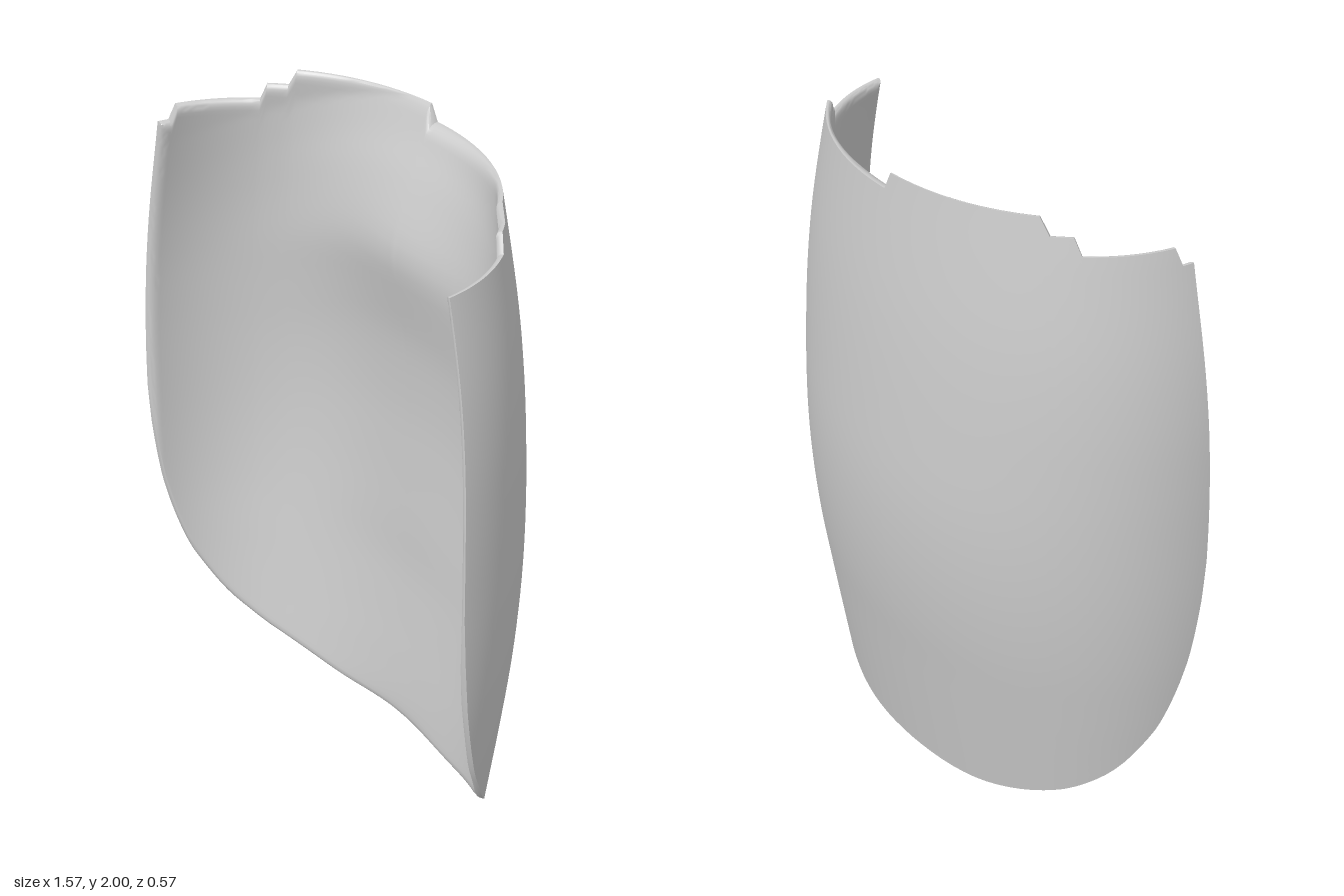
import * as THREE from 'three';
import { toCreasedNormals } from 'three/addons/utils/BufferGeometryUtils.js';

// Smooth (cubic) or straight interpolation through [input, output] pairs
function sample(points, t, smooth = true) {
  const n = points.length;
  if (t <= points[0][0]) return points[0][1];
  if (t >= points[n - 1][0]) return points[n - 1][1];
  let k = 0;
  while (t > points[k + 1][0]) k++;
  const [t0, v0] = points[k], [t1, v1] = points[k + 1];
  const h = t1 - t0, u = (t - t0) / h;
  if (!smooth) return v0 + (v1 - v0) * u;
  const slope = (i) => {
    const a = points[Math.max(i - 1, 0)], b = points[Math.min(i + 1, n - 1)];
    return (b[1] - a[1]) / (b[0] - a[0]);
  };
  const u2 = u * u, u3 = u2 * u;
  return v0 * (2 * u3 - 3 * u2 + 1) + v1 * (3 * u2 - 2 * u3)
    + h * (slope(k) * (u3 - 2 * u2 + u) + slope(k + 1) * (u3 - u2));
}

// Half width and back depth by height
const HALF_WIDTH = [[0, 0.715], [0.2, 0.74], [0.4, 0.763], [0.6, 0.78], [0.8, 0.788], [1, 0.788],
  [1.2, 0.782], [1.4, 0.767], [1.6, 0.737], [1.85, 0.68], [2, 0.64]];
const BACK_Z = [[0, -0.145], [0.2, -0.18], [0.4, -0.215], [0.6, -0.25], [0.8, -0.275], [1, -0.287],
  [1.2, -0.285], [1.6, -0.265], [2, -0.225]];
// Padding thickness on the hollow side by height: a ridge near the top, a hollow below it
const PAD = [[0, 0.03], [0.05, 0.044], [0.2, 0.06], [0.35, 0.072], [0.5, 0.086], [0.7, 0.111], [0.9, 0.122],
  [1.1, 0.124], [1.3, 0.13], [1.45, 0.15], [1.57, 0.163], [1.65, 0.147], [1.8, 0.082], [1.9, 0.03], [2, -0.015]];
// Lower rim height by angle round the shell, and the stepped upper rim
const END = 1.49;
const LOWER_RIM = [[0, 0], [0.36, 0.003], [0.59, 0.032], [0.83, 0.085], [0.97, 0.135], [1.104, 0.2],
  [1.23, 0.295], [1.33, 0.4], [1.43, 0.6], [1.475, 0.8], [END, 0.95]];
const UPPER_RIM = [[-END, 1.85], [-1.43, 1.85], [-1.4, 1.9], [-0.965, 1.9], [-0.935, 1.95], [-0.83, 1.95],
  [-0.79, 2], [-0.06, 2], [-0.03, 1.95], [0.84, 1.95], [0.86, 1.9], [0.95, 1.9], [0.99, 1.85], [END, 1.85]];
const WALL = 0.025, EDGE = 0.004, ROUNDING = 0.03, PAD_HALF_WIDTH = 0.78;

// Point on the shell: an elliptical arc at each height, offset inward by a thickness
function shellPoint(angle, y, rimDistance, inner) {
  const a = sample(HALF_WIDTH, y);
  const centre = 0.333 - 0.022 * THREE.MathUtils.smoothstep(y, 1, 1.85);
  const b = centre - sample(BACK_Z, y);
  const p = new THREE.Vector3(a * Math.sin(angle), y, centre - b * Math.cos(angle));
  if (inner) {
    // The padding fades towards the sides, and its ridge arches downwards there
    const fade = Math.cos(Math.min(Math.abs(p.x) / PAD_HALF_WIDTH, 1) * Math.PI / 2) ** 2;
    const full = WALL + sample(PAD, y + 0.45 * p.x * p.x) * fade;
    // The inner face rounds down to a thin edge near every rim
    const r = 1 - Math.min(rimDistance / ROUNDING, 1);
    const thickness = EDGE + (full - EDGE) * Math.sqrt(1 - r * r);
    const inward = new THREE.Vector3(-Math.sin(angle) / a, 0, Math.cos(angle) / b).normalize();
    p.addScaledVector(inward, thickness);
  }
  return p;
}

function shellGeometry() {
  // Columns crowd towards the side edges and include every rim step
  const angles = UPPER_RIM.map((p) => p[0]);
  for (let i = 1; i < 72; i++) {
    const t = END * Math.sin((i / 36 - 1) * Math.PI / 2);
    if (angles.every((v) => Math.abs(v - t) > 0.004)) angles.push(t);
  }
  angles.sort((p, q) => p - q);
  const cols = angles.length, rows = 57, layer = cols * rows;

  const positions = [], index = [];
  for (const inner of [false, true]) {
    for (const angle of angles) {
      const low = sample(LOWER_RIM, Math.abs(angle)), high = sample(UPPER_RIM, angle, false);
      const sideDistance = (END - Math.abs(angle)) * 0.6;
      for (let j = 0; j < rows; j++) {
        const y = low + (high - low) * (0.5 - 0.5 * Math.cos(Math.PI * j / (rows - 1)));
        const rimDistance = Math.min(y - low, high - y, sideDistance);
        positions.push(...shellPoint(angle, y, rimDistance, inner).toArray());
      }
    }
  }
  const outer = (i, j) => i * rows + j;
  const inner = (i, j) => layer + i * rows + j;
  const quad = (a, b, c, d) => index.push(a, b, c, a, c, d);

  // Outer and inner faces
  for (let i = 0; i < cols - 1; i++) {
    for (let j = 0; j < rows - 1; j++) {
      quad(inner(i, j), inner(i + 1, j), inner(i + 1, j + 1), inner(i, j + 1));
      quad(outer(i, j), outer(i, j + 1), outer(i + 1, j + 1), outer(i + 1, j));
    }
  }
  // Lower and upper rims
  const top = rows - 1, last = cols - 1;
  for (let i = 0; i < last; i++) {
    quad(outer(i, 0), outer(i + 1, 0), inner(i + 1, 0), inner(i, 0));
    quad(outer(i, top), inner(i, top), inner(i + 1, top), outer(i + 1, top));
  }
  // Side rims
  for (let j = 0; j < top; j++) {
    quad(outer(last, j), outer(last, j + 1), inner(last, j + 1), inner(last, j));
    quad(outer(0, j), inner(0, j), inner(0, j + 1), outer(0, j + 1));
  }

  const geometry = new THREE.BufferGeometry();
  geometry.setAttribute('position', new THREE.Float32BufferAttribute(positions, 3));
  geometry.setIndex(index);
  return toCreasedNormals(geometry, Math.PI / 4);
}

export function createModel() {
  const model = new THREE.Group();
  model.name = 'curvedShellPanel';
  const shell = new THREE.Mesh(shellGeometry(), new THREE.MeshStandardMaterial({ color: 0xcccccc }));
  shell.name = 'paddedShell';
  model.add(shell);
  return model;
}
